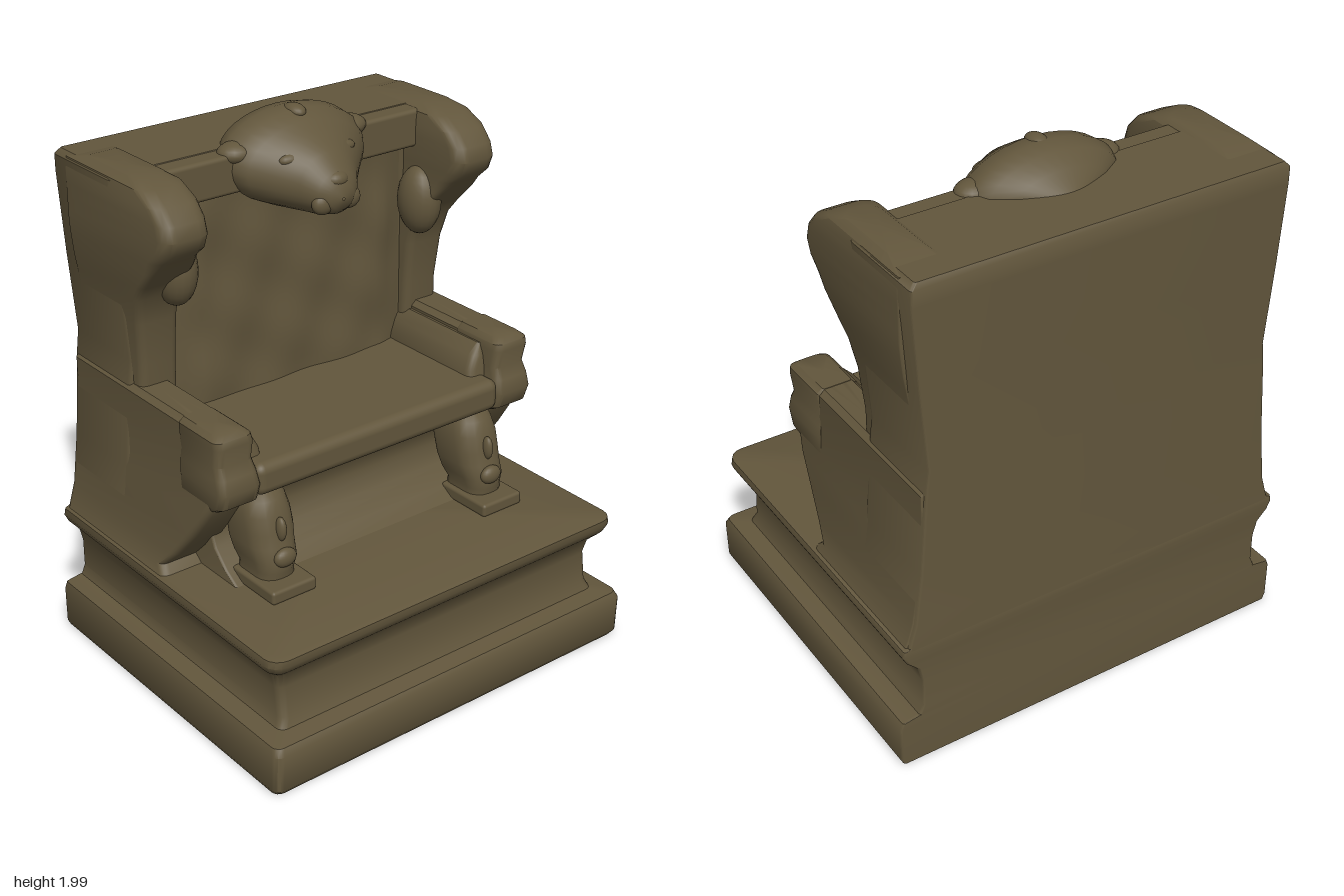
import * as THREE from 'three';
import { toCreasedNormals } from 'three/addons/utils/BufferGeometryUtils.js';
import { RoundedBoxGeometry } from 'three/addons/geometries/RoundedBoxGeometry.js';

// Stack of rounded rectangles, each [y, xMin, xMax, zBack, zFront, frontRadius, backRadius]
function loft(sections, crease = 0.7) {
  const K = 5, pos = [], idx = [];
  sections.forEach(([y, x0, x1, z0, z1, rf = 0.03, rb = 0.01]) => {
    const corners = [[x1 - rf, z1 - rf, rf], [x0 + rf, z1 - rf, rf], [x0 + rb, z0 + rb, rb], [x1 - rb, z0 + rb, rb]];
    corners.forEach(([cx, cz, r], c) => {
      for (let k = 0; k < K; k++) {
        const a = (c + k / (K - 1)) * Math.PI / 2;
        pos.push(cx + r * Math.cos(a), y, cz + r * Math.sin(a));
      }
    });
  });
  const N = 4 * K, last = sections.length - 1;
  for (let s = 0; s < last; s++) for (let i = 0; i < N; i++) {
    const a = s * N + i, b = s * N + (i + 1) % N;
    idx.push(a, a + N, b, b, a + N, b + N);
  }
  for (const s of [0, last]) {
    const [y, x0, x1, z0, z1] = sections[s], c = pos.length / 3;
    pos.push((x0 + x1) / 2, y, (z0 + z1) / 2);
    for (let i = 0; i < N; i++) {
      const a = s * N + i, b = s * N + (i + 1) % N;
      if (s === 0) idx.push(c, a, b); else idx.push(c, b, a);
    }
  }
  const g = new THREE.BufferGeometry();
  g.setAttribute('position', new THREE.Float32BufferAttribute(pos, 3));
  g.setIndex(idx);
  return toCreasedNormals(g, crease);
}

// Symmetric section and mirrored section
const sym = (y, w, zb, zf, rf, rb) => [y, -w, w, zb, zf, rf, rb];
const flip = (list, s) => list.map(([y, a, b, ...rest]) => (s > 0 ? [y, a, b, ...rest] : [y, -b, -a, ...rest]));

export function createModel() {
  const model = new THREE.Group();
  model.name = 'throne';
  const stone = new THREE.MeshStandardMaterial({ color: 0x62563c });
  stone.name = 'dark bronze stone';
  const add = (name, geometry, x = 0, y = 0, z = 0, parent = model) => {
    const m = new THREE.Mesh(geometry, stone);
    m.name = name;
    m.position.set(x, y, z);
    parent.add(m);
    return m;
  };
  const ball = (name, x, y, z, rx, ry, rz, parent) =>
    add(name, new THREE.SphereGeometry(1, 20, 14), x, y, z, parent).scale.set(rx, ry, rz);

  // Stepped plinth with a hollow moulding
  add('plinth', loft([
    sym(0.01, 0.785, -0.67, 0.65, 0.03), sym(0.03, 0.795, -0.67, 0.665, 0.03),
    sym(0.17, 0.795, -0.67, 0.67, 0.03), sym(0.195, 0.785, -0.67, 0.655, 0.03),
    sym(0.205, 0.72, -0.67, 0.59, 0.03), sym(0.24, 0.705, -0.67, 0.575, 0.03),
    sym(0.35, 0.705, -0.67, 0.56, 0.03), sym(0.41, 0.72, -0.67, 0.575, 0.04),
    sym(0.45, 0.76, -0.67, 0.615, 0.05), sym(0.48, 0.775, -0.67, 0.63, 0.06),
    sym(0.505, 0.77, -0.67, 0.63, 0.06), sym(0.512, 0.75, -0.67, 0.61, 0.06),
  ]));

  // Tall back slab and the curved apron under the seat
  add('back', loft([
    sym(0.5, 0.755, -0.67, -0.3), sym(0.6, 0.725, -0.67, -0.3), sym(0.8, 0.7, -0.67, -0.3),
    sym(1.12, 0.675, -0.67, -0.3), sym(1.2, 0.665, -0.67, -0.3), sym(1.5, 0.69, -0.67, -0.3),
    sym(1.8, 0.71, -0.67, -0.3), sym(1.86, 0.71, -0.67, -0.3), sym(1.88, 0.69, -0.66, -0.31),
  ]));
  add('apron', loft([
    sym(0.5, 0.6, -0.5, 0.2, 0.01), sym(0.55, 0.6, -0.5, 0.12, 0.01), sym(0.61, 0.6, -0.5, 0.06, 0.01),
    sym(0.68, 0.6, -0.5, 0.03, 0.01), sym(0.76, 0.6, -0.5, 0.05, 0.01), sym(0.88, 0.6, -0.5, 0.15, 0.01),
  ]));

  // Seat slab with a rounded front edge
  add('seat', new RoundedBoxGeometry(1.08, 0.12, 0.66, 4, 0.035), 0, 0.92, -0.09);

  // Softly rippled back cushion
  const panel = new THREE.PlaneGeometry(1, 0.78, 30, 24), p = panel.attributes.position;
  for (let i = 0; i < p.count; i++) {
    const x = p.getX(i), y = p.getY(i);
    const edge = Math.min(1, (0.5 - Math.abs(x)) / 0.1);
    p.setZ(i, edge * (0.03 + 0.009 * Math.sin(x * 17 + y * 6) * Math.cos(y * 15 - x * 4)));
  }
  panel.computeVertexNormals();
  add('backCushion', panel, 0, 1.36, -0.297);
  add('topRail', new RoundedBoxGeometry(1.1, 0.14, 0.2, 3, 0.015), 0, 1.807, -0.335);

  for (const s of [1, -1]) {
    const side = new THREE.Group();
    side.name = s > 0 ? 'leftSide' : 'rightSide';
    model.add(side);

    // Arm: flared skirt below, straight rest above
    add('arm', loft(flip([
      [0.505, 0.54, 0.76, -0.66, -0.02], [0.54, 0.54, 0.745, -0.66, -0.06], [0.6, 0.54, 0.728, -0.66, 0.0],
      [0.7, 0.54, 0.712, -0.66, 0.08], [0.8, 0.54, 0.7, -0.66, 0.15], [0.86, 0.54, 0.69, -0.66, 0.18],
      [1.0, 0.54, 0.685, -0.66, 0.2], [1.1, 0.54, 0.685, -0.66, 0.2], [1.12, 0.56, 0.665, -0.66, 0.18],
    ], s)), 0, 0, 0, side);
    add('armFront', loft(flip([
      [0.835, 0.54, 0.68, 0.0, 0.19], [0.86, 0.525, 0.69, 0.0, 0.23], [0.92, 0.525, 0.692, 0.0, 0.25],
      [0.97, 0.53, 0.69, 0.0, 0.235], [1.01, 0.535, 0.685, 0.0, 0.215], [1.08, 0.535, 0.69, 0.0, 0.228],
      [1.105, 0.54, 0.69, 0.0, 0.222], [1.122, 0.56, 0.67, 0.0, 0.2],
    ], s)), 0, 0, 0, side);
    add('armPad', loft(flip([
      [0.95, 0.46, 0.56, -0.31, 0.17], [1.0, 0.465, 0.56, -0.31, 0.16],
      [1.05, 0.49, 0.56, -0.31, 0.15], [1.09, 0.53, 0.56, -0.31, 0.13, 0.01],
    ], s)), 0, 0, 0, side);

    // Wing: slim at the arm, sweeping out to a scroll at the top
    add('wing', loft(flip([
      [1.05, 0.51, 0.665, -0.6, -0.26], [1.2, 0.51, 0.662, -0.6, -0.255], [1.36, 0.51, 0.675, -0.6, -0.24],
      [1.46, 0.51, 0.69, -0.6, -0.215], [1.52, 0.51, 0.7, -0.6, -0.17], [1.59, 0.52, 0.707, -0.6, -0.105],
      [1.64, 0.525, 0.711, -0.6, -0.06, 0.05], [1.68, 0.525, 0.711, -0.6, -0.015, 0.05],
      [1.73, 0.525, 0.711, -0.6, 0.005, 0.05], [1.78, 0.525, 0.711, -0.6, -0.01, 0.05],
      [1.83, 0.525, 0.711, -0.6, -0.055, 0.05], [1.87, 0.53, 0.705, -0.6, -0.13, 0.05],
      [1.892, 0.56, 0.68, -0.5, -0.2, 0.05],
    ], s)), 0, 0, 0, side);
    ball('wingLobe', s * 0.535, 1.54, -0.22, 0.075, 0.13, 0.09, side);

    // Carved bust leg on a small foot
    add('foot', new RoundedBoxGeometry(0.185, 0.05, 0.24, 2, 0.012), s * 0.475, 0.533, 0.23, side);
    add('bustLeg', loft(flip([
      [0.54, 0.4, 0.55, 0.1, 0.285, 0.06, 0.04], [0.58, 0.405, 0.545, 0.1, 0.29, 0.06, 0.04],
      [0.62, 0.39, 0.555, 0.08, 0.295, 0.07, 0.04], [0.67, 0.382, 0.56, 0.06, 0.275, 0.075, 0.04],
      [0.72, 0.378, 0.56, 0.05, 0.265, 0.075, 0.04], [0.78, 0.38, 0.56, 0.03, 0.25, 0.075, 0.04],
      [0.83, 0.39, 0.55, 0.02, 0.23, 0.07, 0.04], [0.87, 0.41, 0.53, 0.02, 0.19, 0.05, 0.04],
    ], s), 1.2), 0, 0, 0, side);
    ball('bustNose', s * 0.468, 0.735, 0.263, 0.018, 0.045, 0.025, side);
    ball('bustChin', s * 0.468, 0.635, 0.285, 0.045, 0.035, 0.025, side);
  }

  // Carved animal head on the crest, lofted from back to front: [z, centreY, rx, ry]
  const head = new THREE.Group();
  head.name = 'crestHead';
  model.add(head);
  const rings = [
    [-0.46, 1.86, 0.06, 0.02], [-0.41, 1.865, 0.17, 0.07], [-0.36, 1.85, 0.25, 0.125], [-0.3, 1.832, 0.285, 0.158],
    [-0.24, 1.82, 0.285, 0.163], [-0.19, 1.805, 0.25, 0.148], [-0.13, 1.785, 0.185, 0.13],
    [-0.07, 1.765, 0.125, 0.11], [-0.02, 1.745, 0.085, 0.075], [0.005, 1.735, 0.05, 0.045], [0.012, 1.73, 0.005, 0.005],
  ];
  const M = 32, hp = [], hi = [];
  rings.forEach(([z, cy, rx, ry], r) => {
    for (let i = 0; i < M; i++) {
      const a = i / M * Math.PI * 2;
      hp.push(rx * Math.cos(a), cy + ry * Math.sin(a), z);
      if (r < rings.length - 1) {
        const b = r * M + i, n = r * M + (i + 1) % M;
        hi.push(b, n, b + M, n, n + M, b + M);
      }
    }
  });
  const hg = new THREE.BufferGeometry();
  hg.setAttribute('position', new THREE.Float32BufferAttribute(hp, 3));
  hg.setIndex(hi);
  hg.computeVertexNormals();
  add('skull', hg, 0, 0, 0, head);
  ball('crownKnob', 0, 1.972, -0.26, 0.035, 0.026, 0.05, head);
  ball('nose', 0, 1.79, -0.03, 0.045, 0.03, 0.035, head);
  for (const s of [1, -1]) {
    ball('brow', s * 0.1, 1.855, -0.135, 0.06, 0.025, 0.03, head);
    ball('cheek', s * 0.055, 1.715, -0.03, 0.045, 0.04, 0.03, head);
    ball('ear', s * 0.235, 1.87, -0.27, 0.075, 0.04, 0.06, head);
  }
  return model;
}
